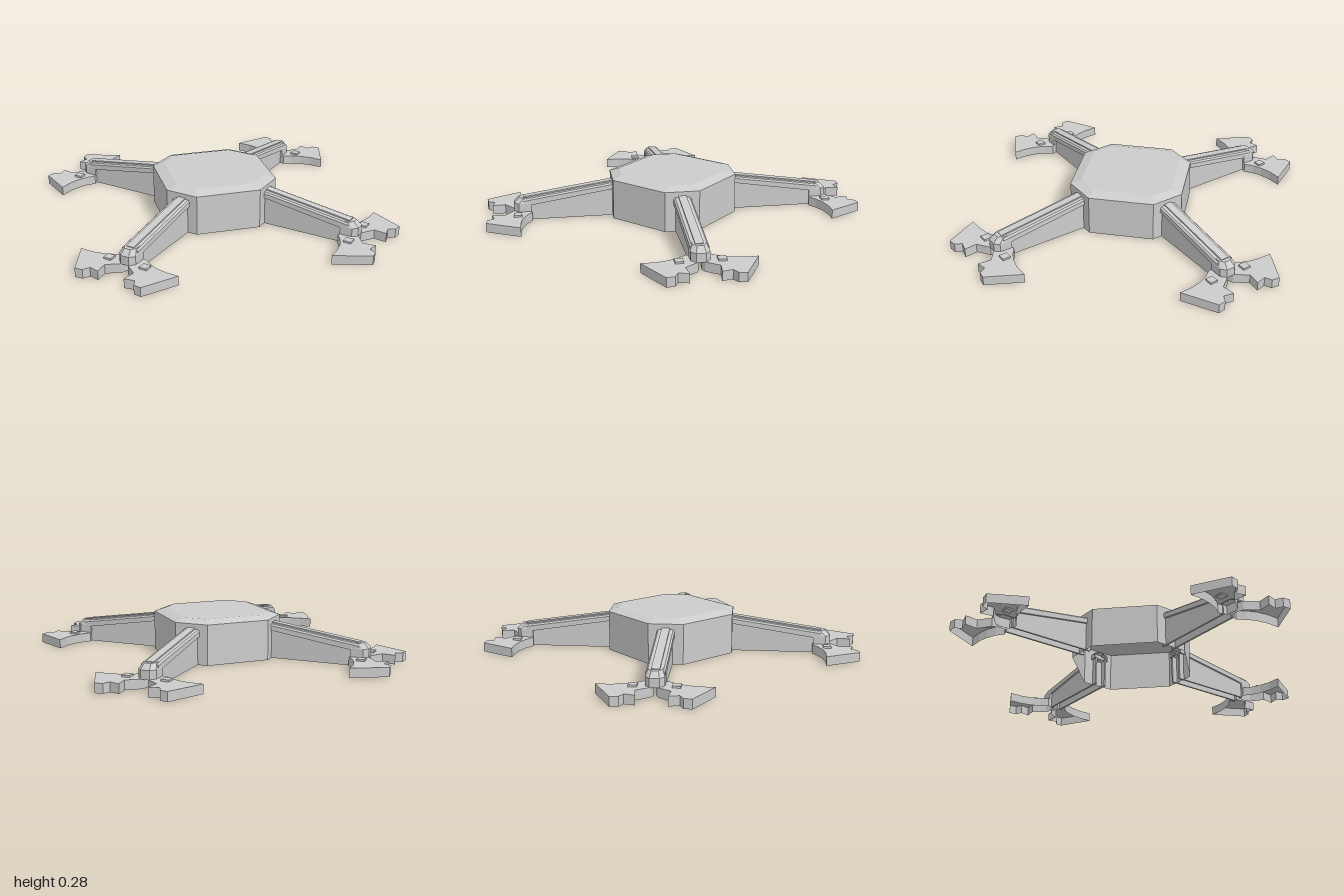
import * as THREE from 'three';

const material = new THREE.MeshStandardMaterial({ color: 0xcccccc, flatShading: true, side: THREE.DoubleSide });

function part(name, geometry) {
  const mesh = new THREE.Mesh(geometry, material);
  mesh.name = name;
  return mesh;
}

// Joins equal-sized rings of points into a skin; outline (2D, counterclockwise) closes the last ring.
function loft(rings, outline) {
  const n = rings[0].length;
  const index = [];
  for (let k = 0; k + 1 < rings.length; k++) {
    for (let i = 0; i < n; i++) {
      const j = (i + 1) % n;
      const a = k * n + i, b = k * n + j;
      index.push(a, b, b + n, a, b + n, a + n);
    }
  }
  const base = (rings.length - 1) * n;
  const flat = outline.map(([u, v]) => new THREE.Vector2(u, v));
  for (const tri of THREE.ShapeUtils.triangulateShape(flat, [])) index.push(...tri.map(i => base + i));
  const geometry = new THREE.BufferGeometry();
  geometry.setAttribute('position', new THREE.Float32BufferAttribute(rings.flat(2), 3));
  geometry.setIndex(index);
  const split = geometry.toNonIndexed();
  split.computeVertexNormals();
  return split;
}

// Plan outlines stacked upward, open at the bottom; v points to the back.
const stack = layers => loft(
  layers.map(([pts, y]) => pts.map(([u, v]) => [u, y, -v])),
  layers[layers.length - 1][0]
);

const octagon = (h, c) => [[h, -c], [h, c], [c, h], [-c, h], [-h, c], [-h, -c], [-c, -h], [c, -h]];

// Beam cross-section: wide flange with a narrow raised ridge, tops measured down from the ridge.
function beamSection(top, depth) {
  const half = [[0.055, -depth], [0.055, -0.02], [0.045, -0.01], [0.025, -0.008], [0.025, 0]];
  const right = half.map(([v, d]) => [v, top + d]);
  return [...right, ...right.map(([v, y]) => [-v, y]).reverse()];
}

function createLeg() {
  const leg = new THREE.Group();
  leg.name = 'leg';

  // Sloping beam
  const stations = [[0.36, 0.235, 0.05], [0.96, 0.147, 0.055]];
  const sections = stations.map(([, top, depth]) => beamSection(top, depth));
  const rings = sections.map((s, i) => s.map(([v, y]) => [stations[i][0], y, -v]));
  leg.add(part('legBeam', loft(rings, sections[1])));

  // Side webs below the beam
  const profile = new THREE.Shape([[0.36, 0], [0.92, 0], [0.92, 0.105], [0.36, 0.195]]
    .map(([x, y]) => new THREE.Vector2(x, y)));
  for (const side of [1, -1]) {
    const web = new THREE.ExtrudeGeometry(profile, { depth: 0.012, bevelEnabled: false });
    web.translate(0, 0, side * 0.036 - 0.006);
    leg.add(part('legWeb', web));
  }

  // Blunt tip with a sloped crown
  const plan = (r, w) => [[0.91, -w], [r - 0.03, -w], [r, -w / 2], [r, w / 2], [r - 0.03, w], [0.91, w]];
  const tip = [[plan(1.018, 0.056), 0.055], [plan(1.018, 0.056), 0.11], [plan(0.985, 0.04), 0.143]];
  leg.add(part('legTip', stack(tip)));
  return leg;
}

const footOutline = [
  [0.69, 0.7], [0.705, 0.735], [0.69, 0.83], [0.755, 0.88], [0.70, 0.915], [0.715, 0.96],
  [0.685, 1.0], [0.455, 0.93], [0.515, 0.87], [0.555, 0.81], [0.58, 0.75], [0.59, 0.69], [0.64, 0.66]
];

// Hollow claw-shaped foot with a small square stud; the mirrored one swaps x and depth
function createFoot(mirrored) {
  const foot = new THREE.Group();
  foot.name = mirrored ? 'sideFoot' : 'endFoot';
  const outline = mirrored ? footOutline.map(([u, v]) => [v, u]).reverse() : footOutline;
  foot.add(part('footShell', stack([[outline, 0], [outline, 0.058]])));
  const stud = part('footStud', new THREE.BoxGeometry(0.05, 0.02, 0.05));
  const [u, v] = mirrored ? [0.79, 0.617] : [0.617, 0.79];
  stud.position.set(u, 0.06, -v);
  stud.rotation.y = Math.PI / 4;
  foot.add(stud);
  return foot;
}

export function createModel() {
  const model = new THREE.Group();
  model.name = 'fourLeggedBase';

  // Octagonal hub, hollow from below, with a bevelled lid
  const wall = octagon(0.355, 0.203);
  model.add(part('hub', stack([[wall, 0], [wall, 0.255], [octagon(0.29, 0.185), 0.277]])));

  // Four diagonal legs, each with a pair of feet
  for (let k = 0; k < 4; k++) {
    const corner = new THREE.Group();
    corner.name = 'legAssembly';
    const leg = createLeg();
    leg.rotation.y = Math.PI / 4;
    corner.add(leg, createFoot(false), createFoot(true));
    corner.rotation.y = k * Math.PI / 2;
    model.add(corner);
  }
  return model;
}
